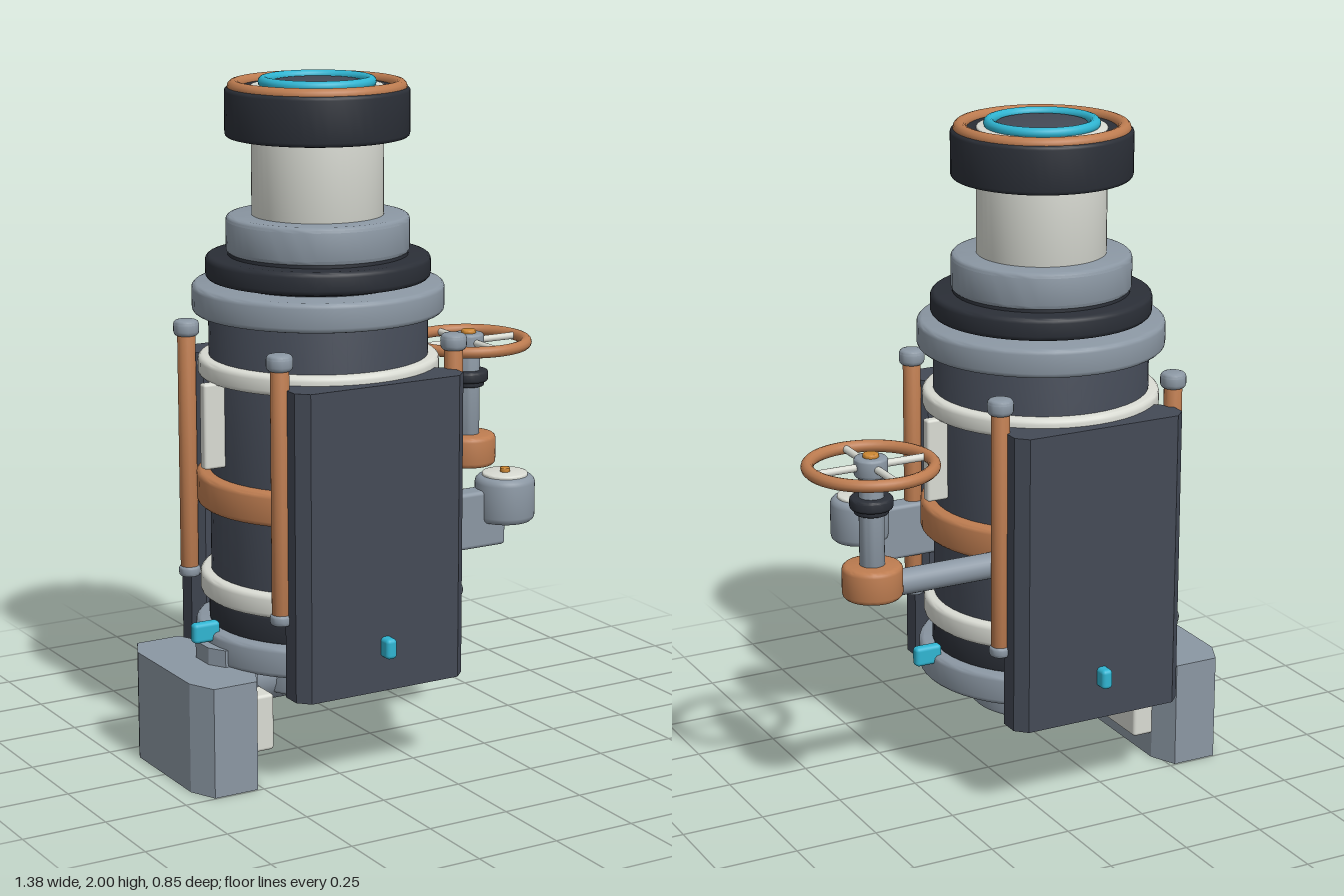
import * as THREE from 'three';
import { toCreasedNormals } from 'three/addons/utils/BufferGeometryUtils.js';
import { RoundedBoxGeometry } from 'three/addons/geometries/RoundedBoxGeometry.js';

const mat = (color) => new THREE.MeshStandardMaterial({ color });
const steel = mat(0x8b97a3), slate = mat(0x444a56), black = mat(0x2b2f37), ivory = mat(0xd9dbd3);
const copper = mat(0xbd7c50), cyan = mat(0x30b5d2), amber = mat(0xcb8632);
const AXIS = -0.174; // x of the main barrel

export function createModel() {
  const model = new THREE.Group();

  const add = (name, geo, material, x = 0, y = 0, z = 0, parent = model) => {
    const mesh = new THREE.Mesh(geo, material);
    mesh.name = name;
    mesh.position.set(x, y, z);
    parent.add(mesh);
    return mesh;
  };

  // Upright drum from y0 to y1 with rounded rims
  const drum = (name, material, r, y0, y1, x = AXIS, z = 0, b = 0.01, seg = 48) => {
    const pts = [new THREE.Vector2(0, y0)];
    for (let i = 0; i <= 3; i++) {
      const a = (i / 3) * Math.PI / 2;
      pts.push(new THREE.Vector2(r - b + b * Math.sin(a), y0 + b - b * Math.cos(a)));
    }
    for (let i = 0; i <= 3; i++) {
      const a = (i / 3) * Math.PI / 2;
      pts.push(new THREE.Vector2(r - b + b * Math.cos(a), y1 - b + b * Math.sin(a)));
    }
    pts.push(new THREE.Vector2(0, y1));
    return add(name, toCreasedNormals(new THREE.LatheGeometry(pts, seg), 0.6), material, x, 0, z);
  };

  const flatTorus = (name, material, R, t, x, y, z) => {
    const geo = new THREE.TorusGeometry(R, t, 12, 56).rotateX(Math.PI / 2);
    return add(name, geo, material, x, y, z);
  };

  const pipeX = (name, material, r, x0, x1, y, z) => {
    const geo = new THREE.CylinderGeometry(r, r, x1 - x0, 28).rotateZ(Math.PI / 2);
    return add(name, geo, material, (x0 + x1) / 2, y, z);
  };

  // Upright prism with chamfered corners, centred in plan
  const chamferBox = (name, material, w, h, d, cx, cz, x, y, z) => {
    const a = w / 2, b = d / 2;
    const shape = new THREE.Shape([
      [-a + cx, -b], [a - cx, -b], [a, -b + cz], [a, b - cz],
      [a - cx, b], [-a + cx, b], [-a, b - cz], [-a, -b + cz],
    ].map(([u, v]) => new THREE.Vector2(u, v)));
    const geo = new THREE.ExtrudeGeometry(shape, { depth: h, bevelEnabled: false });
    geo.rotateX(-Math.PI / 2);
    return add(name, geo, material, x, y, z);
  };

  // Barrel, its bands and the stepped neck
  drum('lowerNeck', steel, 0.21, 0.215, 0.32);
  drum('drainCap', amber, 0.12, 0.197, 0.23, AXIS, 0, 0.005);
  drum('barrel', slate, 0.318, 0.305, 1.34);
  drum('baseFlange', steel, 0.365, 0.32, 0.41, AXIS, 0, 0.015);
  drum('baseGasket', black, 0.325, 0.405, 0.49);
  drum('lowerBand', ivory, 0.35, 0.49, 0.56, AXIS, 0, 0.015);
  drum('middleBand', copper, 0.358, 0.762, 0.86, AXIS, 0, 0.015);
  drum('upperBand', ivory, 0.35, 1.14, 1.2, AXIS, 0, 0.015);
  drum('topFlange', steel, 0.365, 1.325, 1.41, AXIS, 0, 0.015);
  drum('neckCore', black, 0.26, 1.4, 1.52);
  drum('topGasket', black, 0.325, 1.422, 1.49, AXIS, 0, 0.015);
  drum('collar', steel, 0.265, 1.495, 1.605, AXIS, 0, 0.015);
  drum('neck', ivory, 0.19, 1.59, 1.975, AXIS, 0, 0.004);
  drum('headRing', black, 0.265, 1.828, 1.97, AXIS, 0, 0.012);
  flatTorus('headTrim', copper, 0.237, 0.02, AXIS, 1.97, 0);
  flatTorus('glowRing', cyan, 0.153, 0.016, AXIS, 1.984, 0);
  drum('lens', slate, 0.133, 1.97, 1.985, AXIS, 0, 0.003);

  // Front and back armour panels
  for (const s of [1, -1]) {
    chamferBox('panel', slate, 0.55, 0.895, 0.125, 0.033, 0.033, AXIS, 0.28, s * 0.322);
  }

  // Corner tie rods with end caps
  for (const sx of [1, -1]) for (const sz of [1, -1]) {
    const x = AXIS + sx * 0.284, z = sz * 0.284;
    drum('tieRod', copper, 0.027, 0.5, 1.25, x, z, 0.004, 20);
    drum('rodTopCap', steel, 0.038, 1.227, 1.275, x, z, 0.014, 24);
    drum('rodBottomCap', steel, 0.032, 0.495, 0.528, x, z, 0.01, 24);
  }

  // Side fins
  for (const s of [1, -1]) {
    add('sideFin', new RoundedBoxGeometry(0.09, 0.25, 0.034, 2, 0.008), ivory, AXIS + s * 0.336, 1.022, 0);
  }

  // Indicator lights around the base
  for (let i = 0; i < 4; i++) {
    const a = i * Math.PI / 2;
    const light = add('indicator', new RoundedBoxGeometry(0.034, 0.06, 0.085, 3, 0.012), cyan,
      AXIS + Math.sin(a) * 0.38, 0.412, Math.cos(a) * 0.38);
    light.rotation.y = a;
  }

  // Outlet pipe and counterweight housing
  pipeX('outletPipe', steel, 0.085, -0.5, -0.135, 0.262, 0);
  chamferBox('outletBracket', steel, 0.165, 0.175, 0.18, 0.03, 0.05, -0.483, 0.2, 0);
  add('outletSeal', new RoundedBoxGeometry(0.1, 0.17, 0.33, 2, 0.01), ivory, -0.468, 0.163, 0);
  chamferBox('outletHousing', steel, 0.212, 0.325, 0.492, 0.037, 0.08, -0.586, 0, 0);

  // Valve arm, stem and handwheel
  const VX = 0.491, VZ = -0.232;
  pipeX('valveArm', steel, 0.038, 0, VX - 0.04, 0.757, VZ);
  drum('valveBody', copper, 0.087, 0.73, 0.828, VX, VZ, 0.015);
  drum('valveStem', steel, 0.036, 0.82, 1.11, VX, VZ, 0.004, 28);
  drum('valveCollarLower', black, 0.05, 0.98, 1.005, VX, VZ, 0.005, 32);
  drum('valveCollar', black, 0.062, 0.995, 1.03, VX, VZ, 0.008, 32);
  flatTorus('handwheelRim', copper, 0.178, 0.018, VX, 1.12, VZ);
  drum('handwheelHub', steel, 0.048, 1.09, 1.146, VX, VZ, 0.008, 32);
  drum('handwheelNut', amber, 0.023, 1.14, 1.157, VX, VZ, 0.005, 20);
  for (let i = 0; i < 2; i++) {
    const geo = new THREE.CylinderGeometry(0.011, 0.011, 0.35, 12).rotateZ(Math.PI / 2).rotateY(i * Math.PI / 2);
    add('handwheelSpokes', geo, ivory, VX, 1.12, VZ);
  }

  // Front side gauge
  add('gaugeBracket', new RoundedBoxGeometry(0.25, 0.17, 0.068, 2, 0.012), steel, 0.155, 0.715, 0.275);
  drum('gaugeBody', steel, 0.088, 0.7, 0.836, 0.288, 0.288, 0.02);
  drum('gaugeFace', ivory, 0.067, 0.82, 0.845, 0.288, 0.288, 0.005);
  drum('gaugePin', amber, 0.015, 0.84, 0.858, 0.288, 0.288, 0.004, 16);

  return model;
}
